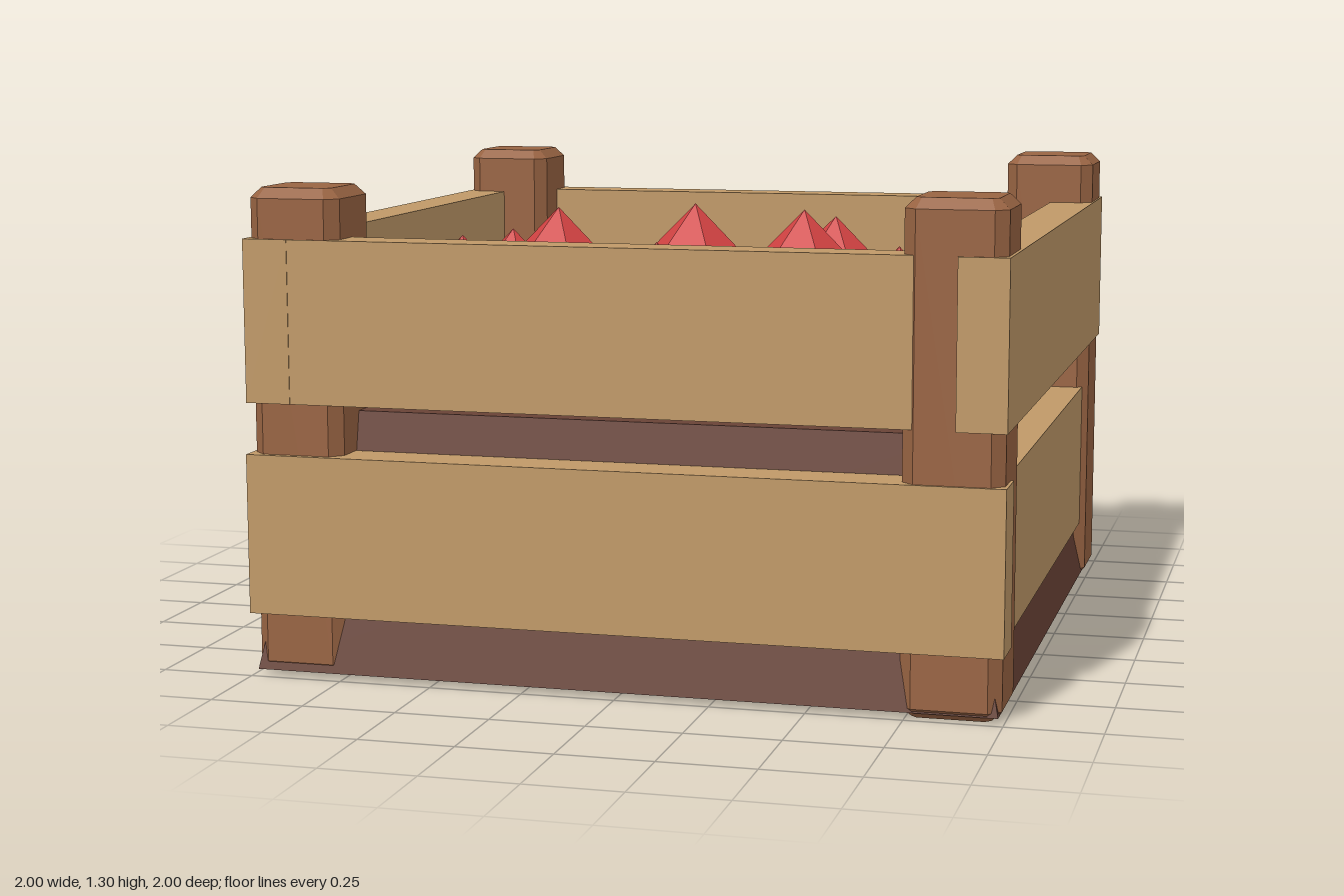
import * as THREE from 'three';

const mat = (name, color) => {
  const m = new THREE.MeshStandardMaterial({ color });
  m.name = name;
  return m;
};

// Gives every face its own flat normal
function faceted(geometry) {
  const g = geometry.toNonIndexed();
  g.computeVertexNormals();
  return g;
}

// Upright square post with all edges chamfered
function postGeometry(width, height, chamfer) {
  const h = width / 2 - chamfer; // the bevel widens the outline again
  const k = chamfer * 0.6;
  const shape = new THREE.Shape([
    [h, -h + k], [h, h - k], [h - k, h], [-h + k, h],
    [-h, h - k], [-h, -h + k], [-h + k, -h], [h - k, -h],
  ].map(([x, y]) => new THREE.Vector2(x, y)));
  const g = new THREE.ExtrudeGeometry(shape, {
    depth: height - 2 * chamfer, bevelEnabled: true, bevelSegments: 1,
    bevelSize: chamfer, bevelThickness: chamfer,
  });
  g.translate(0, 0, chamfer);
  g.rotateX(-Math.PI / 2);
  return g;
}

export function createModel() {
  const model = new THREE.Group();
  model.name = 'crate';
  const plankWood = mat('plank tan', 0xc09968);
  const postWood = mat('post brown', 0x996443);
  const soilBrown = mat('soil brown', 0x694236);
  const red = mat('produce red', 0xd04141);

  const add = (name, geometry, material, x, y, z) => {
    const mesh = new THREE.Mesh(geometry, material);
    mesh.name = name;
    mesh.position.set(x, y, z);
    model.add(mesh);
    return mesh;
  };

  // Plank given by its extents on each axis
  const plank = (name, [x0, x1], [y0, y1], [z0, z1]) =>
    add(name, new THREE.BoxGeometry(x1 - x0, y1 - y0, z1 - z0), plankWood,
      (x0 + x1) / 2, (y0 + y1) / 2, (z0 + z1) / 2);

  // Corner posts; those on the +x side are slightly larger
  const bigPost = postGeometry(0.258, 1.3, 0.027);
  const smallPost = postGeometry(0.247, 1.28, 0.027);
  add('frontLeftPost', bigPost, postWood, 0.863, 0, 0.863);
  add('backLeftPost', bigPost, postWood, 0.866, 0, -0.868);
  add('frontRightPost', smallPost, postWood, -0.867, 0.012, 0.86);
  add('backRightPost', smallPost, postWood, -0.868, 0.012, -0.868);

  // Upper planks
  const upper = [0.73, 1.16];
  plank('frontUpperPlank', [-1, 0.8], upper, [0.872, 0.988]);
  plank('backUpperPlank', [-1, 0.8], upper, [-0.994, -0.88]);
  plank('leftUpperPlank', [0.872, 1], upper, [-1, 0.998]);
  plank('rightUpperPlank', [-1, -0.878], upper, [-1, 0.99]);

  // Lower planks; only the front one laps over its posts
  const lower = [0.17, 0.595];
  plank('frontLowerPlank', [-1, 1], lower, [0.872, 1]);
  plank('backLowerPlank', [-0.8, 0.8], lower, [-0.98, -0.88]);
  plank('leftLowerPlank', [0.872, 0.978], lower, [-0.8, 0.8]);
  plank('rightLowerPlank', [-0.978, -0.878], lower, [-0.8, 0.8]);

  // Soil block tapering towards its top
  const soil = new THREE.CylinderGeometry(0.847 * Math.SQRT2, 0.986 * Math.SQRT2, 0.682, 4);
  soil.rotateY(Math.PI / 4);
  add('soil', faceted(soil), soilBrown, 0, 0.357, 0);

  // Rows of six-sided produce; apex heights per row, back to front
  const produce = faceted(new THREE.SphereGeometry(0.206, 6, 2));
  const spots = [-0.672, -0.225, 0.222, 0.668];
  const apexes = [
    [1.12, 1.14, 1.11, 1.07],
    [1.09, 1.06, 1.165, 1.1],
    [1.11, 1.06, 1.06, 1.09],
    [1.08, 1.11, 1.1, 1.15],
  ];
  apexes.forEach((row, j) => row.forEach((apex, i) =>
    add('produce', produce, red, spots[i], apex - 0.206, spots[j])));

  return model;
}
